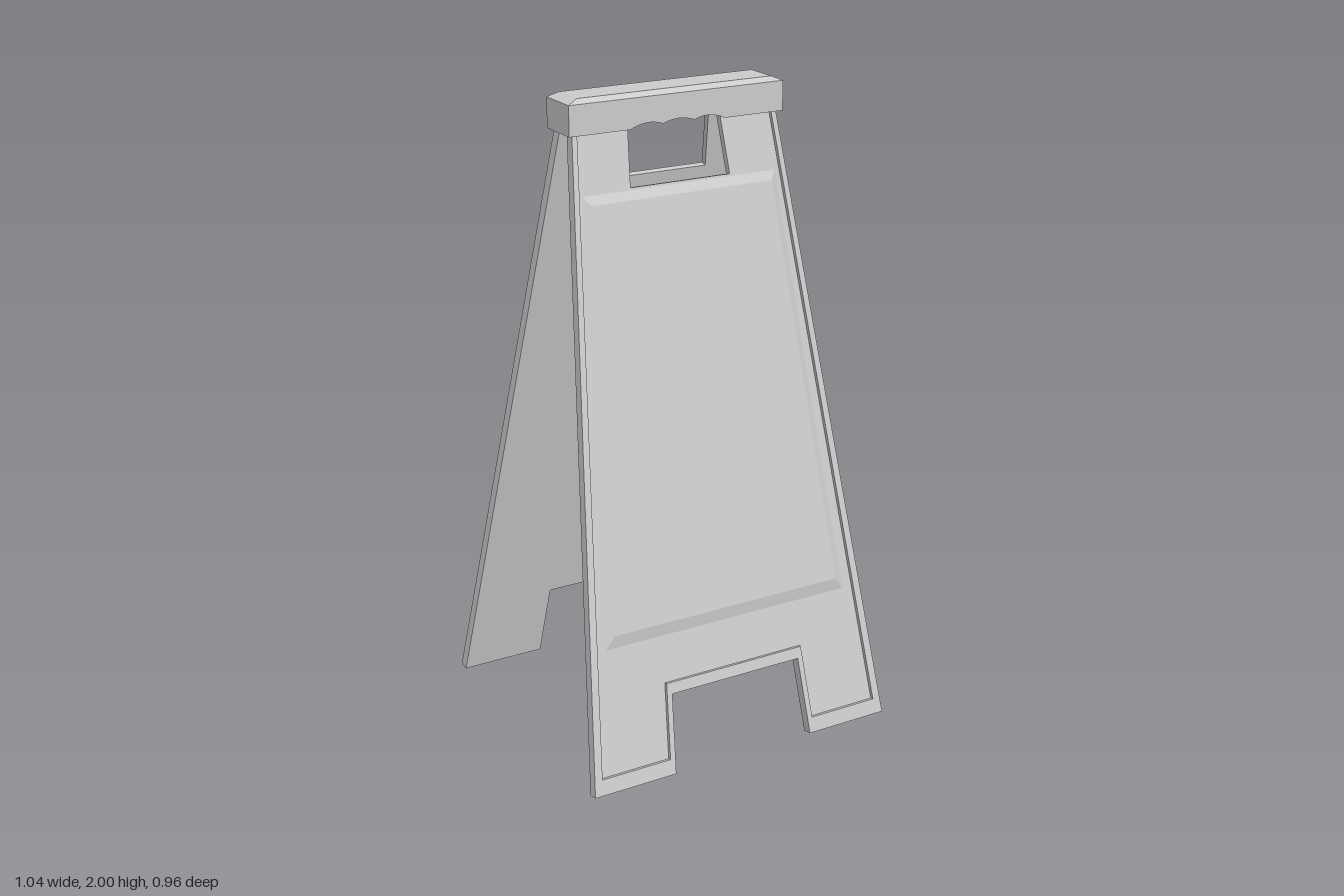
import * as THREE from 'three';

const TILT = 0.222, THICK = 0.033, RECESS = 0.012;
const material = new THREE.MeshStandardMaterial({ color: 0xcccccc, flatShading: true });

// height above ground -> distance up the tilted panel
const up = (y) => Math.max(0, (y - 0.007) / Math.cos(TILT));

// symmetric outline from its right half, listed bottom to top
function mirrored(half, Type = THREE.Shape) {
  const right = half.map(([x, y]) => new THREE.Vector2(x, up(y)));
  const left = right.map((p) => new THREE.Vector2(-p.x, p.y)).reverse();
  return new Type([...right, ...left]);
}

function part(name, geometry) {
  const mesh = new THREE.Mesh(geometry, material);
  mesh.name = name;
  return mesh;
}

const extrude = (shape, depth) =>
  new THREE.ExtrudeGeometry(shape, { depth, bevelEnabled: false, curveSegments: 8 });

// box whose corners are placed by a rule of the corner signs
function shapedBox(rule) {
  const geometry = new THREE.BoxGeometry(2, 2, 2);
  const p = geometry.attributes.position;
  for (let i = 0; i < p.count; i++) p.setXYZ(i, ...rule(p.getX(i), p.getY(i), p.getZ(i)));
  geometry.computeVertexNormals();
  return geometry;
}

function createPanel(name) {
  const panel = new THREE.Group();
  panel.name = name;

  const outline = [[0.225, 0.25], [0.242, 0], [0.518, 0], [0.338, 1.94]];
  const recess = [[0.24, 0.285], [0.256, 0.055], [0.488, 0.055], [0.323, 1.925]];
  const handle = [[0.168, 1.73], [0.154, 1.92]];

  // flat sheet with handle opening
  const sheet = mirrored(outline);
  sheet.holes.push(mirrored(handle, THREE.Path));
  panel.add(part('sheet', extrude(sheet, THICK - RECESS)));

  // raised border around the outside edge
  const rim = mirrored(outline);
  rim.holes.push(mirrored(recess, THREE.Path));
  const rimMesh = part('rim', extrude(rim, RECESS));
  rimMesh.position.z = THICK - RECESS;
  panel.add(rimMesh);

  // raised sign field with sloping edges
  panel.add(part('signField', shapedBox((x, y, z) => {
    const outer = z < 0;
    const half = y < 0 ? (outer ? 0.426 : 0.392) : (outer ? 0.33 : 0.304);
    const height = y < 0 ? (outer ? 0.42 : 0.465) : (outer ? 1.728 : 1.695);
    return [x * half, up(height), outer ? THICK - RECESS - 0.002 : THICK - 0.001];
  })));

  panel.rotation.x = -TILT;
  panel.position.z = 0.45;
  return panel;
}

function createCap() {
  const cap = new THREE.Group();
  cap.name = 'topCap';
  const w = 0.358, d = 0.07, low = 1.895, shoulder = 1.986;

  // body with finger scallops along the underside
  const body = new THREE.Shape();
  body.moveTo(-w, shoulder);
  body.lineTo(-w, low);
  body.lineTo(-0.16, low);
  for (let i = 0; i < 3; i++) {
    const x = -0.156 + i * 0.104;
    body.quadraticCurveTo(x + 0.052, low + 0.026, x + 0.104, low + (i < 2 ? 0.006 : 0));
  }
  body.lineTo(w, low);
  body.lineTo(w, shoulder);
  body.closePath();
  const bodyMesh = part('capBody', extrude(body, 2 * d));
  bodyMesh.position.z = -d;
  cap.add(bodyMesh);

  // chamfered top
  cap.add(part('capTop', shapedBox((x, y, z) => (y < 0
    ? [x * w, shoulder, z * d]
    : [x * 0.325, 2, z * 0.055]))));
  return cap;
}

export function createModel() {
  const model = new THREE.Group();
  model.name = 'foldingFloorSign';
  model.add(createPanel('frontPanel'));

  // identical panel turned to the back
  const back = new THREE.Group();
  back.name = 'backSide';
  back.add(createPanel('backPanel'));
  back.rotation.y = Math.PI;
  model.add(back, createCap());
  return model;
}
